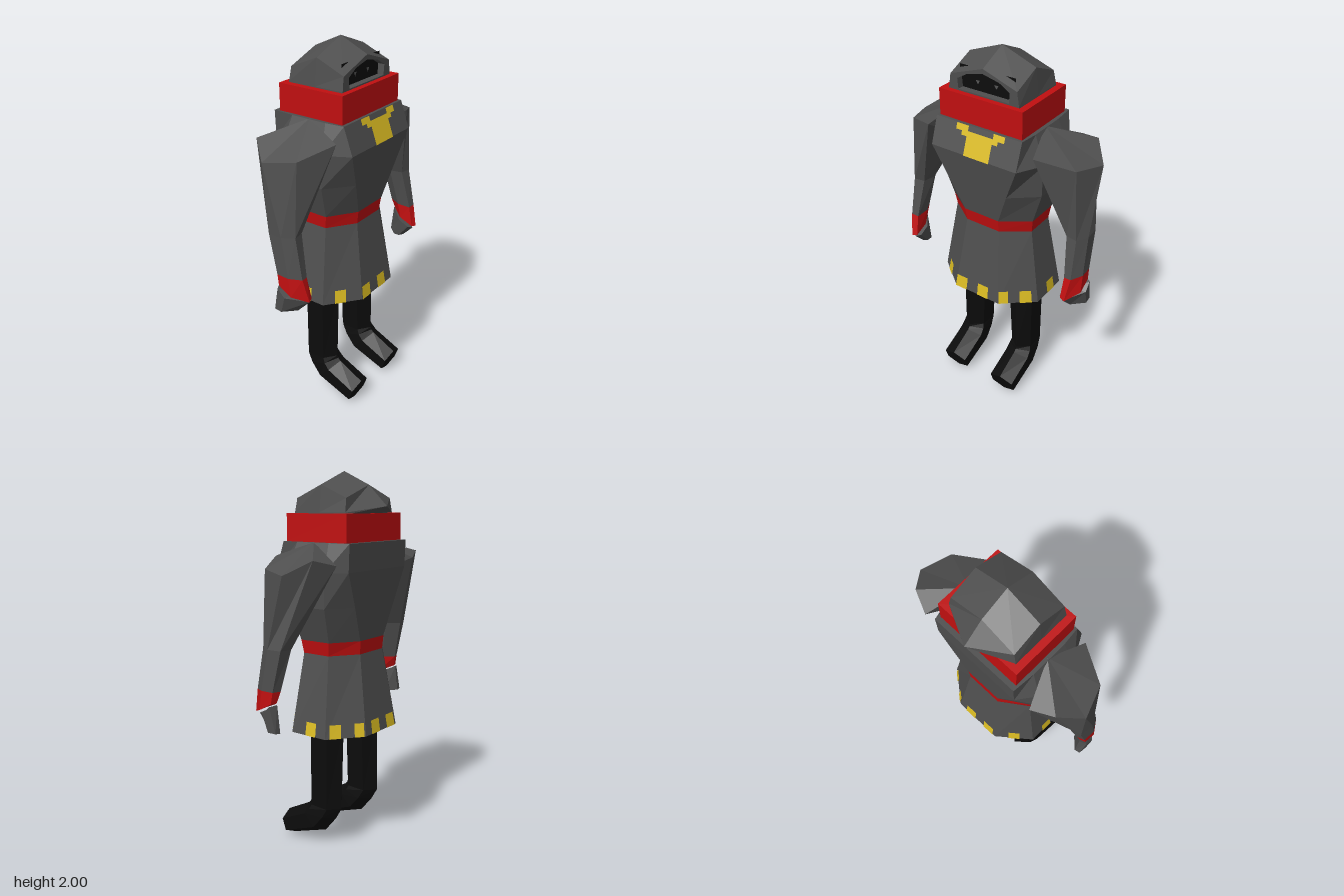
import * as THREE from 'three';

const mat = (name, color) => {
  const m = new THREE.MeshStandardMaterial({ color });
  m.name = name;
  return m;
};

const V = (x, y, z) => new THREE.Vector3(x, y, z);

// Faceted skin through rings listed bottom to top, each counterclockwise seen from above
function loft(rings, { bottom = false, top = false, skip = [] } = {}) {
  const out = [];
  const tri = (a, b, c) => {
    const area = b.clone().sub(a).cross(c.clone().sub(a)).length();
    if (area > 1e-7) out.push(...a.toArray(), ...b.toArray(), ...c.toArray());
  };
  const n = rings[0].length;
  for (let r = 0; r < rings.length - 1; r++) {
    for (let i = 0; i < n; i++) {
      if (skip.includes(i)) continue;
      const j = (i + 1) % n, lo = rings[r], hi = rings[r + 1];
      tri(lo[i], lo[j], hi[j]);
      tri(lo[i], hi[j], hi[i]);
    }
  }
  const cap = (ring, up) => {
    const c = ring.reduce((s, p) => s.add(p), V(0, 0, 0)).divideScalar(n);
    ring.forEach((p, i) => {
      const q = ring[(i + 1) % n];
      up ? tri(c, p, q) : tri(c, q, p);
    });
  };
  if (bottom) cap(rings[0], false);
  if (top) cap(rings[rings.length - 1], true);
  const g = new THREE.BufferGeometry();
  g.setAttribute('position', new THREE.Float32BufferAttribute(out, 3));
  g.computeVertexNormals();
  return g;
}

// Eight-sided body section: flat width a, full width w, side depth s, front f, back b
const section = (y, a, w, s, f, b) => [
  V(a, y, f), V(w, y, s), V(w, y, -s), V(a, y, -b),
  V(-a, y, -b), V(-w, y, -s), V(-w, y, s), V(-a, y, f),
];

const ring = (pts) => pts.map((p) => V(...p));
const mirror = (rings) => rings.map((r) => r.map((p) => V(-p.x, p.y, p.z)).reverse());

export function createModel() {
  const model = new THREE.Group();
  const cloth = mat('charcoal cloth', 0x4e4e4e);
  const red = mat('red trim', 0xc00f10);
  const gold = mat('gold trim', 0xdabb22);
  const black = mat('black', 0x0c0c0c);
  const eyeGrey = mat('eye grey', 0x555555);

  const add = (name, geo, material, parent = model) => {
    const m = new THREE.Mesh(geo, material);
    m.name = name;
    parent.add(m);
    return m;
  };

  // Tunic: skirt, belt and chest
  const hem = section(0.66, 0.14, 0.31, 0.11, 0.245, 0.247);
  const waist = section(1.08, 0.1, 0.24, 0.08, 0.178, 0.178);
  const beltTop = section(1.15, 0.105, 0.25, 0.09, 0.188, 0.182);
  add('skirt', loft([hem, waist]), cloth);
  add('skirtUnderside', loft([hem, hem], { bottom: true }), black);
  add('belt', loft([waist, beltTop]), red);
  add('chest', loft([
    beltTop,
    section(1.33, 0.175, 0.31, 0.11, 0.22, 0.2),
    section(1.51, 0.25, 0.32, 0.12, 0.25, 0.215),
    section(1.65, 0.25, 0.26, 0.1, 0.2, 0.22),
  ], { top: true }), cloth);

  // Gold patches along the hem: [side of skirt, start, end]
  const patches = [
    [0, 0.02, 0.26], [0, 0.55, 0.85], [1, 0.42, 0.72], [2, 0.1, 0.38], [2, 0.72, 0.96],
    [3, 0.18, 0.44], [3, 0.68, 0.94], [4, 0.35, 0.65], [5, 0.35, 0.65],
    [6, 0.3, 0.58], [7, 0.0, 0.26], [7, 0.52, 0.77],
  ];
  const hemPatches = new THREE.Group();
  hemPatches.name = 'hemPatches';
  model.add(hemPatches);
  for (const [side, t0, t1] of patches) {
    const next = (side + 1) % 8;
    const at = (t, up) => hem[side].clone().lerp(hem[next], t)
      .lerp(waist[side].clone().lerp(waist[next], t), up);
    const quad = [at(t0, 0), at(t1, 0), at(t1, 0.17), at(t0, 0.17)];
    const normal = quad[1].clone().sub(quad[0]).cross(quad[3].clone().sub(quad[0])).normalize();
    quad.forEach((p) => p.addScaledVector(normal, 0.004));
    const g = new THREE.BufferGeometry().setFromPoints([0, 1, 2, 0, 2, 3].map((i) => quad[i]));
    g.computeVertexNormals();
    add('hemPatch', g, gold, hemPatches);
  }

  // Stepped chest clasp lying on the sloping upper chest
  const clasp = new THREE.ShapeGeometry(new THREE.Shape([
    [-0.12, 1.65], [-0.12, 1.62], [-0.085, 1.62], [-0.085, 1.6], [-0.053, 1.6], [-0.053, 1.51],
    [0.095, 1.51], [0.095, 1.6], [0.125, 1.6], [0.125, 1.62], [0.16, 1.62], [0.16, 1.65],
    [0.095, 1.65], [0.095, 1.625], [-0.05, 1.625], [-0.05, 1.65],
  ].map((p) => new THREE.Vector2(...p))));
  const cp = clasp.attributes.position;
  for (let i = 0; i < cp.count; i++) cp.setZ(i, 0.205 + (1.65 - cp.getY(i)) * 0.357);
  clasp.computeVertexNormals();
  add('chestClasp', clasp, gold);

  // Collar
  const collar = add('collar', new THREE.BoxGeometry(0.48, 0.14, 0.378), red);
  collar.position.set(0, 1.72, -0.004);

  // Hood: faceted shell with a pointed back, open at the face
  const hoodRing = (x, z, yCorner, yMid, back) => ring([
    [x, yCorner, z], [x, yMid, 0], [x, yCorner, -z], back,
    [-x, yCorner, -z], [-x, yMid, 0], [-x, yCorner, z], [0, yMid, z],
  ]);
  const under = hoodRing(0.205, 0.16, 1.785, 1.785, [0, 1.785, -0.165]);
  const rim = hoodRing(0.204, 0.16, 1.795, 1.795, [0, 1.825, -0.265]);
  const brow = hoodRing(0.19, 0.155, 1.865, 1.93, [0, 1.93, -0.155]);
  add('hoodSides', loft([under, rim, brow], { skip: [6, 7] }), cloth);
  add('hoodTop', loft([brow, brow.map(() => V(0, 2, 0))]), cloth);

  // Face frame, dark face and eyes
  const toPts = (a) => a.map((p) => new THREE.Vector2(...p));
  const frame = new THREE.Shape(toPts([
    [-0.203, 1.785], [0.203, 1.785], [0.19, 1.865], [0, 1.93], [-0.19, 1.865],
  ]));
  frame.holes.push(new THREE.Path(toPts([
    [-0.145, 1.797], [-0.15, 1.85], [-0.09, 1.885], [0, 1.905], [0.09, 1.885], [0.15, 1.85], [0.145, 1.797],
  ])));
  add('faceFrame', new THREE.ExtrudeGeometry(frame, { depth: 0.04, bevelEnabled: false }), cloth)
    .position.z = 0.116;
  const face = add('face', new THREE.PlaneGeometry(0.32, 0.12), black);
  face.position.set(0, 1.85, 0.12);
  for (const s of [-1, 1]) {
    const eye = add('eye', new THREE.CircleGeometry(0.014, 3, -Math.PI / 2), eyeGrey);
    eye.position.set(s * 0.053, 1.844, 0.124);
  }

  // Arm rings for the left side, from shoulder to fingertips
  const shoulder = ring([
    [0.31, 1.58, 0.2], [0.49, 1.53, 0.11], [0.548, 1.51, -0.05],
    [0.455, 1.58, -0.16], [0.34, 1.55, -0.21], [0.27, 1.45, 0]]);
  const apex = shoulder.map(() => V(0.25, 1.652, 0));
  const elbow = ring([
    [0.455, 1.15, 0.1], [0.515, 1.15, 0.11], [0.55, 1.15, 0.05],
    [0.545, 1.15, -0.03], [0.485, 1.15, -0.045], [0.44, 1.15, 0.03]]);
  const cuffTop = ring([
    [0.48, 0.93, 0.145], [0.52, 0.935, 0.15], [0.556, 0.94, 0.09],
    [0.553, 0.94, 0.02], [0.51, 0.94, 0.005], [0.475, 0.935, 0.07]]);
  const cuffEnd = ring([
    [0.476, 0.815, 0.17], [0.505, 0.81, 0.18], [0.558, 0.84, 0.105],
    [0.556, 0.88, 0.03], [0.525, 0.88, 0.02], [0.476, 0.85, 0.09]]);
  const knuckles = ring([
    [0.463, 0.81, 0.15], [0.49, 0.8, 0.168], [0.572, 0.83, 0.075],
    [0.568, 0.87, 0.03], [0.53, 0.875, 0.012], [0.463, 0.84, 0.09]]);
  const fingers = ring([
    [0.475, 0.73, 0.085], [0.5, 0.73, 0.1], [0.565, 0.735, 0.045],
    [0.56, 0.735, 0], [0.53, 0.73, -0.005], [0.475, 0.73, 0.05]]);

  // Leg and foot rings: bent six-sided tube given by front and back points [z, y]
  const bend = (f, b, cx, w) => [[0, 0], [1, 0.25], [1, 0.75], [0, 1], [-1, 0.75], [-1, 0.25]]
    .map(([sx, t]) => V(cx + sx * w, f[1] + (b[1] - f[1]) * t, f[0] + (b[0] - f[0]) * t));
  const leg = [
    bend([0.265, 0.135], [0.22, 0.005], 0.168, 0.073),
    bend([0.12, 0.21], [0, 0.08], 0.168, 0.073),
    bend([0.105, 0.225], [-0.07, 0.165], 0.168, 0.07),
    bend([0.1, 0.24], [-0.108, 0.23], 0.168, 0.064),
    bend([0.1, 0.68], [-0.11, 0.68], 0.157, 0.076),
  ];

  for (const [label, side] of [['left', (r) => r], ['right', mirror]]) {
    const arm = new THREE.Group();
    arm.name = label + 'Arm';
    model.add(arm);
    add('sleeve', loft(side([cuffTop, elbow, shoulder, apex])), cloth, arm);
    add('cuff', loft(side([cuffEnd, cuffTop]), { bottom: true }), red, arm);
    add('hand', loft(side([fingers, knuckles]), { bottom: true, top: true }), cloth, arm);
    add(label + 'Leg', loft(side(leg), { bottom: true }), black);
  }
  return model;
}
